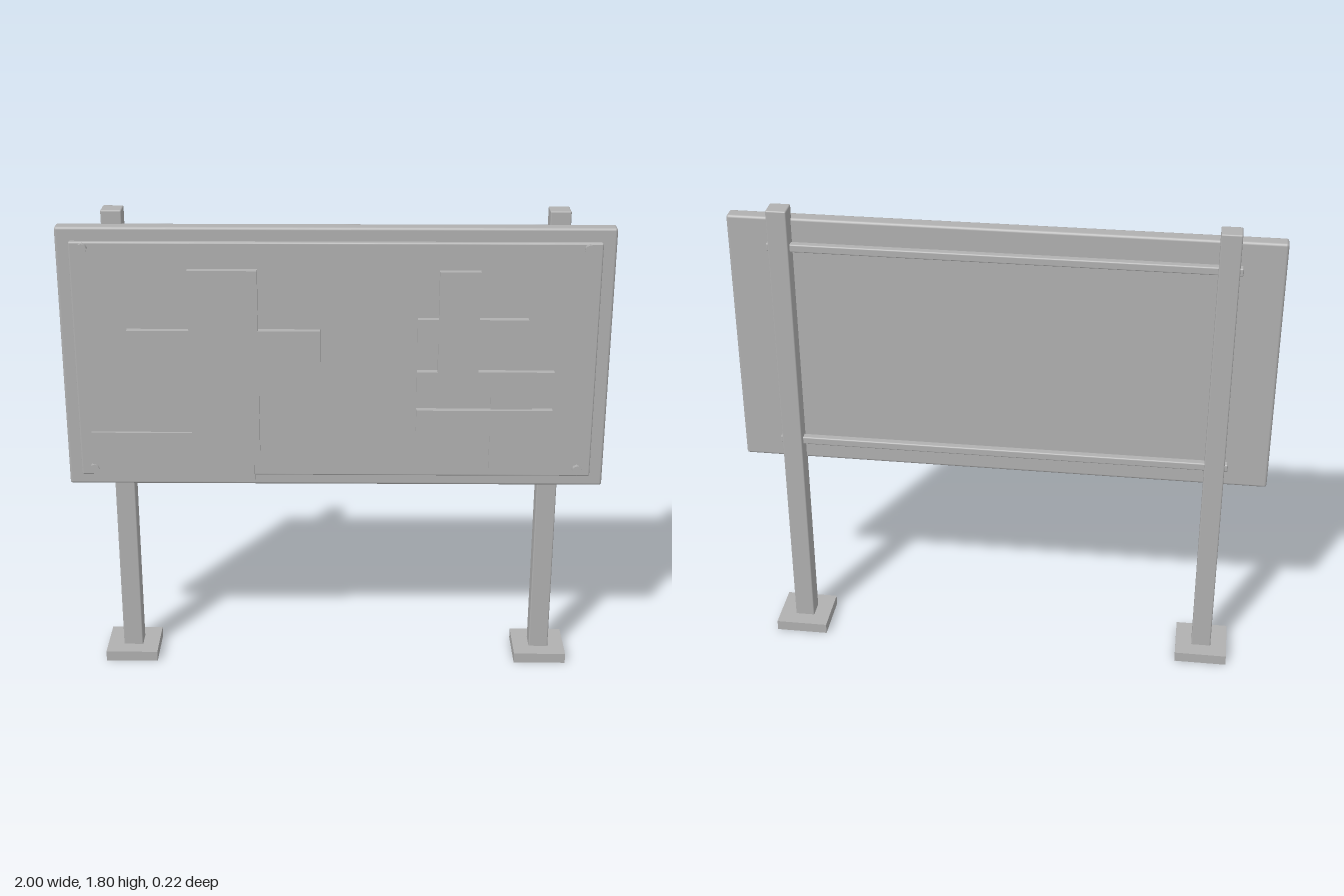
import * as THREE from 'three';
import { RoundedBoxGeometry } from 'three/addons/geometries/RoundedBoxGeometry.js';

export function createModel() {
  const group = new THREE.Group();
  group.name = 'signboard';
  const grey = new THREE.MeshStandardMaterial({ color: 0xb0b0b0 });
  grey.name = 'grey';

  const add = (name, geometry, x, y, z) => {
    const mesh = new THREE.Mesh(geometry, grey);
    mesh.name = name;
    mesh.position.set(x, y, z);
    group.add(mesh);
    return mesh;
  };
  // Box given by its limits; a bevel rounds the edges
  const block = (name, x0, x1, y0, y1, z0, z1, bevel = 0) => {
    const size = [x1 - x0, y1 - y0, z1 - z0];
    const geometry = bevel
      ? new RoundedBoxGeometry(...size, 2, bevel)
      : new THREE.BoxGeometry(...size);
    return add(name, geometry, (x0 + x1) / 2, (y0 + y1) / 2, (z0 + z1) / 2);
  };
  // Flat outline extruded forward from the face of the board
  const raised = (name, points, z0, z1) => {
    const shape = new THREE.Shape(points.map(([x, y]) => new THREE.Vector2(x, y)));
    return add(name, new THREE.ExtrudeGeometry(shape, { depth: z1 - z0, bevelEnabled: false }), 0, 0, z0);
  };

  // Posts on square feet
  for (const x of [-0.8, 0.8]) {
    block('post', x - 0.0375, x + 0.0375, 0.02, 1.8, -0.05, 0.025, 0.005);
    block('foot', x - 0.1, x + 0.1, 0, 0.04, -0.1125, 0.0875);
  }

  // Rails running through the posts behind the board
  for (const y of [0.85, 1.65]) {
    block('rail', -0.85, 0.85, y - 0.015, y + 0.015, -0.028, 0.002, 0.005);
  }

  // Board and its raised face
  block('board', -1, 1, 0.755, 1.75, 0.01, 0.067, 0.01);
  block('facePanel', -0.95, 0.95, 0.8, 1.7, 0.05, 0.084, 0.006);

  // Corner bolts
  for (const x of [-0.9, 0.9]) {
    for (const y of [0.83, 1.68]) {
      add('bolt', new THREE.CylinderGeometry(0.018, 0.018, 0.024, 8), x, y, 0.09).rotation.x = Math.PI / 2;
    }
  }

  // Cross emblem
  const cx = -0.405, cy = 1.252, a = 0.125, b = 0.35;
  raised('crossEmblem', [
    [-a, -b], [a, -b], [a, -a], [b, -a], [b, a], [a, a],
    [a, b], [-a, b], [-a, a], [-b, a], [-b, -a], [-a, -a],
  ].map(([x, y]) => [cx + x, cy + y]), 0.08, 0.109);

  // Lower corner plate
  block('cornerPlate', -0.905, -0.302, 0.777, 0.974, 0.06, 0.095);

  // Stacked bars on the other half
  raised('upperBars', [
    [0.372, 1.222], [0.297, 1.222], [0.297, 1.134], [0.797, 1.134], [0.797, 1.222], [0.519, 1.222],
    [0.519, 1.331], [0.695, 1.331], [0.695, 1.422], [0.519, 1.422], [0.519, 1.6], [0.372, 1.6],
    [0.372, 1.422], [0.297, 1.422], [0.297, 1.331], [0.372, 1.331],
  ], 0.08, 0.109);
  block('lowerBar', 0.297, 0.797, 0.984, 1.072, 0.08, 0.109);
  block('lowerStem', 0.57, 0.722, 0.83, 1.14, 0.08, 0.094);

  return group;
}
